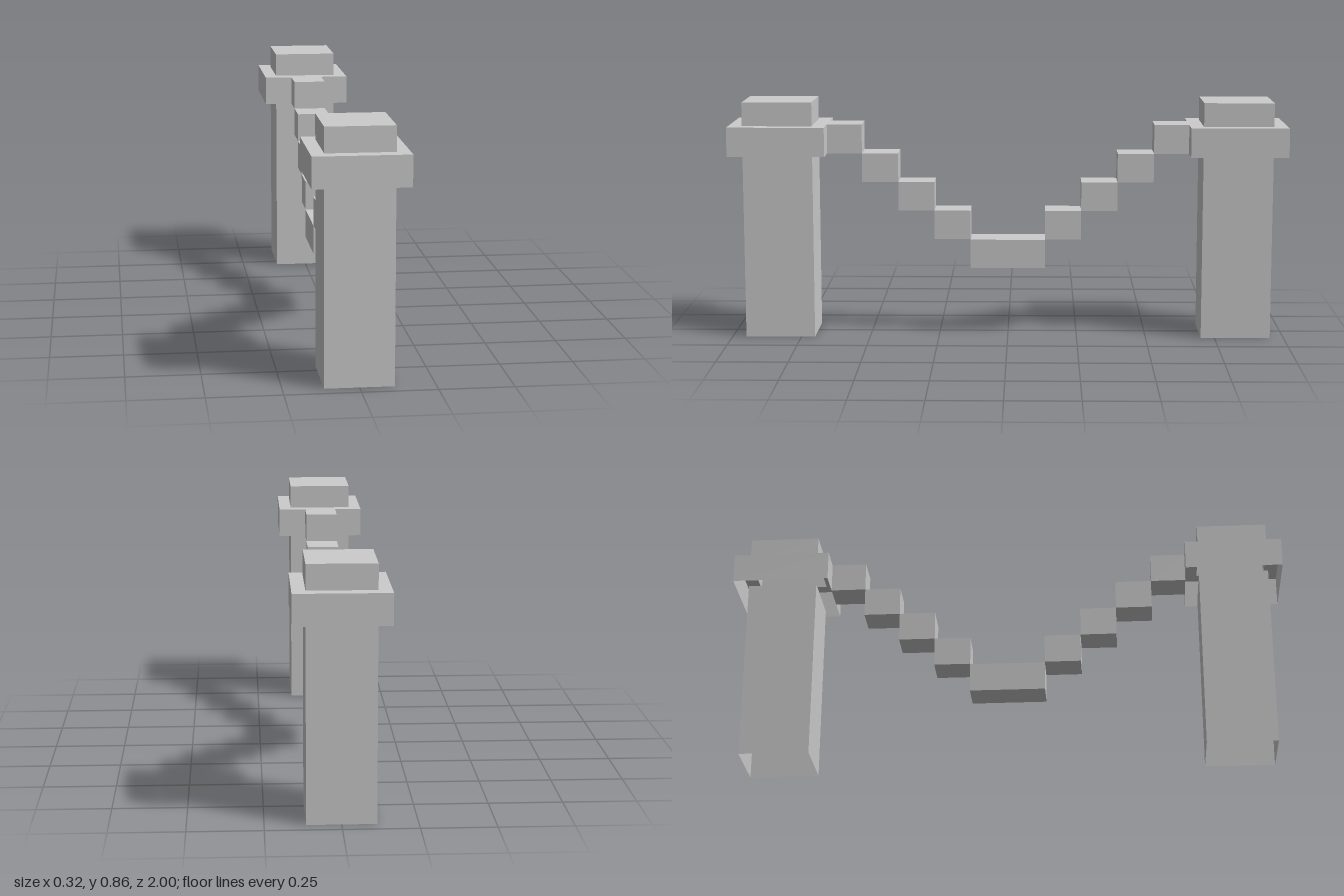
import * as THREE from 'three';

const solid = new THREE.MeshStandardMaterial({ color: 0xcccccc, flatShading: true });
const shell = new THREE.MeshStandardMaterial({ color: 0xcccccc, flatShading: true, side: THREE.DoubleSide });

// Box from y0 to y1 and z0 to z1, centred on x; omit lists faces left open
// (2 = top, 3 = bottom)
function block(name, width, y0, y1, z0, z1, omit = []) {
  const geo = new THREE.BoxGeometry(width, y1 - y0, z1 - z0);
  if (omit.length) {
    geo.setIndex([...geo.index.array].filter((_, i) => !omit.includes(Math.floor(i / 6))));
    geo.clearGroups();
  }
  const mesh = new THREE.Mesh(geo, omit.length ? shell : solid);
  mesh.name = name;
  mesh.position.set(0, (y0 + y1) / 2, (z0 + z1) / 2);
  return mesh;
}

const rect = (type, w, d) => new type([
  new THREE.Vector2(-w / 2, -d / 2), new THREE.Vector2(w / 2, -d / 2),
  new THREE.Vector2(w / 2, d / 2), new THREE.Vector2(-w / 2, d / 2),
]);

// Hollow pillar with a wide collar and a raised cap
function createPillar() {
  const pillar = new THREE.Group();
  pillar.add(block('pillarShaft', 0.23, 0, 0.665, 0.7, 0.95, [2, 3]));
  pillar.add(block('collarWalls', 0.32, 0.665, 0.77, 0.652, 1, [2, 3]));
  pillar.add(block('cap', 0.23, 0.77, 0.855, 0.7, 0.95, [3]));

  // Collar top, open beneath the cap
  const ring = rect(THREE.Shape, 0.32, 0.348);
  ring.holes.push(rect(THREE.Path, 0.23, 0.25));
  const top = new THREE.Mesh(new THREE.ShapeGeometry(ring).rotateX(-Math.PI / 2), shell);
  top.name = 'collarTop';
  top.position.set(0, 0.77, 0.826);
  pillar.add(top);
  return pillar;
}

export function createModel() {
  const model = new THREE.Group();
  model.name = 'steppedBridge';

  // Lowest span in the middle
  const width = 0.118, rise = 0.1045, run = 0.1305;
  model.add(block('middleSpan', width, 0.246, 0.35, -0.135, 0.135));

  for (const side of [1, -1]) {
    const half = new THREE.Group();
    half.name = side > 0 ? 'frontHalf' : 'backHalf';
    const pillar = createPillar();
    pillar.name = 'pillar';
    half.add(pillar);

    // Steps climbing to the collar
    for (let i = 0; i < 4; i++) {
      const y = 0.352 + i * rise, z = 0.135 + i * run;
      half.add(block('step' + (i + 1), width, y, y + rise, z, i === 3 ? 0.652 : z + run));
    }
    half.rotation.y = side > 0 ? 0 : Math.PI;
    model.add(half);
  }
  return model;
}
